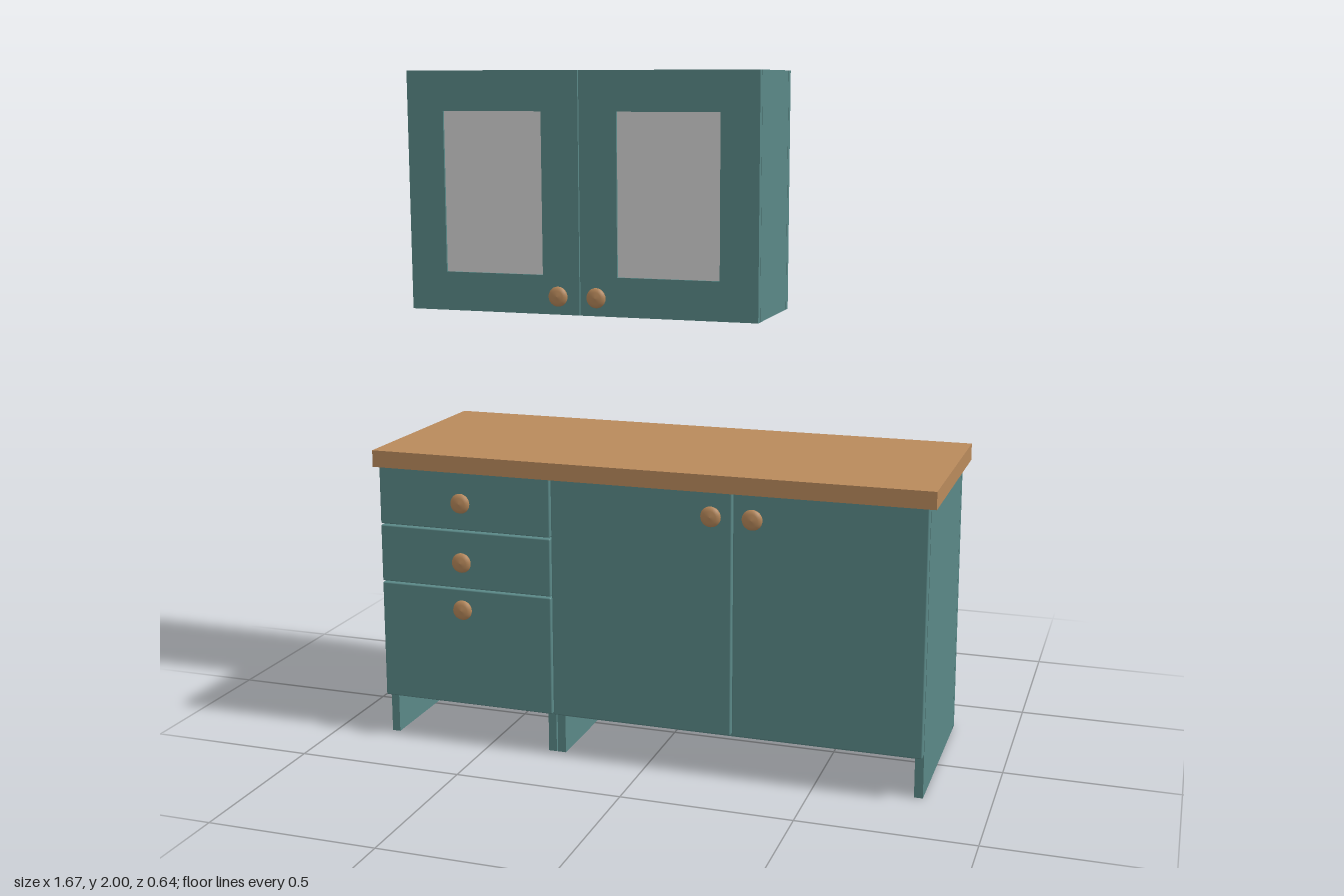
import * as THREE from 'three';
import { RoundedBoxGeometry } from 'three/addons/geometries/RoundedBoxGeometry.js';

const material = (name, color) => Object.assign(new THREE.MeshStandardMaterial({ color }), { name });

export function createModel() {
  const paint = material('teal paint', 0x5a8887);
  const wood = material('warm wood', 0xb98a5c);
  const glass = material('pale glass', 0xd4d4d4);
  const T = 0.025; // board thickness
  const BACK = -0.32;

  const model = new THREE.Group();
  model.name = 'kitchenUnit';
  const group = (name) => {
    const g = new THREE.Group();
    g.name = name;
    model.add(g);
    return g;
  };
  const add = (parent, name, geometry, mat) => {
    const mesh = new THREE.Mesh(geometry, mat);
    mesh.name = name;
    parent.add(mesh);
    return mesh;
  };

  // Board given by its extents on each axis
  const board = (parent, name, [x0, x1], [y0, y1], [z0, z1], mat = paint) =>
    add(parent, name, new THREE.BoxGeometry(x1 - x0, y1 - y0, z1 - z0), mat)
      .position.set((x0 + x1) / 2, (y0 + y1) / 2, (z0 + z1) / 2);

  // Front panel with softened edges
  const front = (parent, name, [x0, x1], [y0, y1], [z0, z1]) =>
    add(parent, name, new RoundedBoxGeometry(x1 - x0, y1 - y0, z1 - z0, 2, 0.004), paint)
      .position.set((x0 + x1) / 2, (y0 + y1) / 2, (z0 + z1) / 2);

  // Turned knob: thin stem, flared neck and domed head
  const knobProfile = [
    [0, 0], [0.011, 0], [0.009, 0.012], [0.013, 0.018], [0.028, 0.02],
    [0.03, 0.024], [0.028, 0.03], [0.018, 0.034], [0, 0.036],
  ].map(([r, h]) => new THREE.Vector2(r, h));
  const knobGeometry = new THREE.LatheGeometry(knobProfile, 24).rotateX(Math.PI / 2);
  const knob = (parent, x, y, z) => add(parent, 'knob', knobGeometry, wood).position.set(x, y, z);

  // Base carcass: two sides and a back, all reaching the floor
  const baseCarcass = (parent, x0, x1) => {
    board(parent, 'leftSide', [x1 - T, x1], [0, 0.848], [BACK + T, 0.25]);
    board(parent, 'rightSide', [x0, x0 + T], [0, 0.848], [BACK + T, 0.25]);
    board(parent, 'backPanel', [x0, x1], [0, 0.848], [BACK, BACK + T - 0.002]);
  };

  // Drawer cabinet
  const drawers = group('drawerCabinet');
  baseCarcass(drawers, -0.835, -0.29);
  [[0.128, 0.486, 0.43], [0.49, 0.664, 0.575], [0.668, 0.846, 0.755]].forEach(([y0, y1, ky]) => {
    front(drawers, 'drawerFront', [-0.835, -0.29], [y0, y1], [0.252, 0.282]);
    knob(drawers, -0.5625, ky, 0.28);
  });

  // Two-door base cabinet
  const base = group('doorCabinet');
  baseCarcass(base, -0.286, 0.81);
  board(base, 'bottomPanel', [-0.261, 0.785], [0.115, 0.14], [BACK + T, 0.25]);
  [[-0.286, 0.258, 0.203], [0.262, 0.81, 0.323]].forEach(([x0, x1, kx]) => {
    front(base, 'door', [x0, x1], [0.128, 0.846], [0.252, 0.282]);
    knob(base, kx, 0.777, 0.28);
  });

  // Worktop
  board(model, 'worktop', [-0.835, 0.835], [0.85, 0.9], [BACK, 0.32], wood);

  // Wall cabinet: sides, backs, and recessed top and bottom boards
  const wall = group('wallCabinet');
  const Y0 = 1.285, Y1 = 2;
  board(wall, 'rightSide', [-0.835, -0.81], [Y0, Y1], [BACK + T, 0.002]);
  board(wall, 'leftSide', [0.235, 0.26], [Y0, Y1], [BACK + T, 0.002]);
  [[-0.835, -0.289, -0.81, -0.289], [-0.286, 0.26, -0.286, 0.235]].forEach(([x0, x1, ix0, ix1]) => {
    board(wall, 'backPanel', [x0, x1], [Y0, Y1], [BACK, BACK + T - 0.002]);
    board(wall, 'topPanel', [ix0, ix1], [Y1 - 0.035, Y1 - 0.01], [BACK + T, -0.02]);
    board(wall, 'bottomPanel', [ix0, ix1], [Y0 + 0.01, Y0 + 0.035], [BACK + T, -0.02]);
  });

  // Glazed doors: frame with an opening and a thin pane
  const rectangle = (path, x0, x1, y0, y1) => {
    path.moveTo(x0, y0);
    path.lineTo(x1, y0);
    path.lineTo(x1, y1);
    path.lineTo(x0, y1);
    path.closePath();
    return path;
  };
  [[-0.835, -0.289, -0.348], [-0.286, 0.26, -0.228]].forEach(([x0, x1, kx]) => {
    const left = x0 + 0.116, right = x1 - 0.116;
    const shape = rectangle(new THREE.Shape(), x0, x1, Y0, Y1);
    shape.holes.push(rectangle(new THREE.Path(), left, right, 1.402, 1.882));
    const frame = new THREE.ExtrudeGeometry(shape, { depth: 0.021, bevelEnabled: false });
    add(wall, 'doorFrame', frame, paint).position.z = 0.004;
    board(wall, 'glassPane', [left, right], [1.402, 1.882], [0.011, 0.018], glass);
    knob(wall, kx, 1.342, 0.024);
  });

  return model;
}
